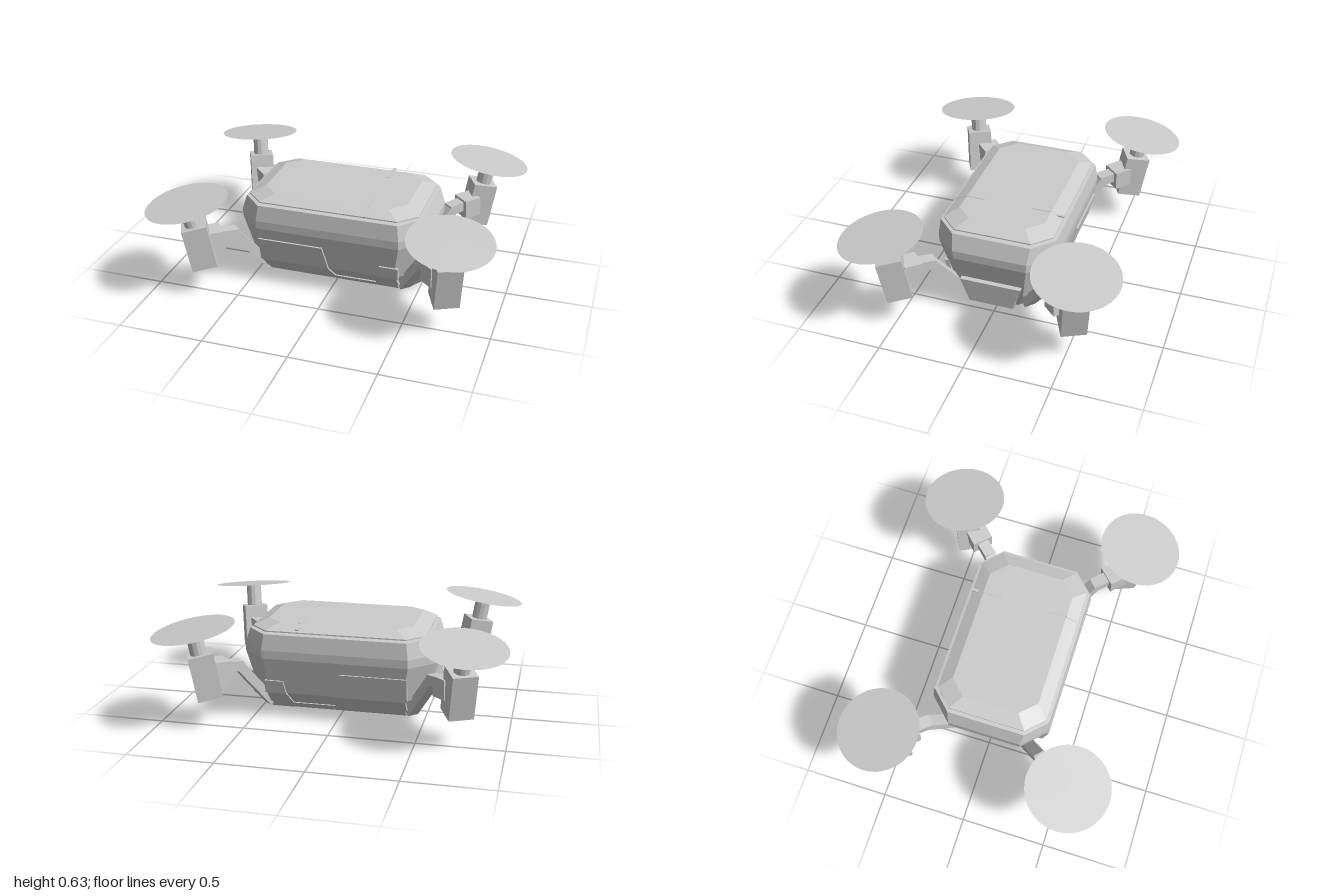
import * as THREE from 'three';

const mat = new THREE.MeshStandardMaterial({ color: 0xcccccc, flatShading: true });
const discMat = new THREE.MeshStandardMaterial({ color: 0xcccccc, side: THREE.DoubleSide });

function add(parent, name, geometry, material = mat) {
  const mesh = new THREE.Mesh(geometry, material);
  mesh.name = name;
  parent.add(mesh);
  return mesh;
}

// Flat-shaded solid through rings of points, listed from bottom to top
function loft(rings) {
  const pos = [];
  const tri = (...pts) => pts.forEach((p) => pos.push(...p));
  const n = rings[0].length;
  for (let i = 0; i < rings.length - 1; i++) {
    for (let j = 0; j < n; j++) {
      const k = (j + 1) % n;
      const [a, b, c, d] = [rings[i][j], rings[i][k], rings[i + 1][k], rings[i + 1][j]];
      tri(a, c, b);
      tri(a, d, c);
    }
  }
  const bottom = rings[0], top = rings[rings.length - 1];
  for (let j = 1; j < n - 1; j++) {
    tri(bottom[0], bottom[j], bottom[j + 1]);
    tri(top[0], top[j + 1], top[j]);
  }
  const g = new THREE.BufferGeometry();
  g.setAttribute('position', new THREE.Float32BufferAttribute(pos, 3));
  g.computeVertexNormals();
  return g;
}

// Rectangle with cut corners at height y
const octagon = (y, hx, hz, c) => [
  [hx, y, -hz + c], [hx, y, hz - c], [hx - c, y, hz], [-hx + c, y, hz],
  [-hx, y, hz - c], [-hx, y, -hz + c], [-hx + c, y, -hz], [hx - c, y, -hz],
];

const rectangle = (y, x0, x1, hz) => [[x1, y, -hz], [x1, y, hz], [x0, y, hz], [x0, y, -hz]];

// Depth of the long side wall at height y
function wall(y) {
  const { lerp } = THREE.MathUtils;
  return y > 0.16 ? lerp(0.3, 0.352, (y - 0.16) / 0.22) : lerp(0.19, 0.3, (y - 0.04) / 0.12);
}

// Thin plate, outlined in x and y, that follows the side wall
function plate(points) {
  const shape = new THREE.Shape(points.map(([x, y]) => new THREE.Vector2(x, y)));
  const g = new THREE.ExtrudeGeometry(shape, { depth: 0.027, bevelEnabled: false });
  const p = g.attributes.position;
  for (let i = 0; i < p.count; i++) p.setZ(i, p.getZ(i) - 0.015 + wall(p.getY(i)));
  g.computeVertexNormals();
  return g;
}

// Square-section bar between two points
function beam(parent, name, a, b, width, height) {
  const mesh = add(parent, name, new THREE.BoxGeometry(width, height, a.distanceTo(b)));
  mesh.position.copy(a).lerp(b, 0.5);
  mesh.lookAt(b);
  return mesh;
}

export function createModel() {
  const model = new THREE.Group();
  model.name = 'quadcopter';

  // Hull with a narrow neck under the lid
  add(model, 'hull', loft([
    octagon(0.04, 0.45, 0.19, 0.06),
    octagon(0.16, 0.51, 0.3, 0.12),
    octagon(0.38, 0.565, 0.352, 0.138),
    octagon(0.43, 0.565, 0.355, 0.138),
    octagon(0.525, 0.53, 0.343, 0.115),
    octagon(0.53, 0.49, 0.305, 0.1),
    octagon(0.545, 0.49, 0.305, 0.1),
  ]));
  add(model, 'lid', loft([
    octagon(0.535, 0.51, 0.325, 0.1),
    octagon(0.542, 0.51, 0.325, 0.1),
    octagon(0.576, 0.43, 0.255, 0.09),
  ]));

  // Chin under the +x end
  add(model, 'chin', loft([
    rectangle(0, 0.3, 0.44, 0.105),
    rectangle(0.09, 0.3, 0.55, 0.13),
    rectangle(0.24, 0.3, 0.56, 0.18),
  ]));

  // Lower side plates with a notch between them, and lid seams
  const plates = [
    [[-0.42, 0.16], [0, 0.16], [-0.03, 0.31], [-0.42, 0.31]],
    [[-0.41, 0.08], [0.02, 0.08], [0, 0.16], [-0.41, 0.16]],
    [[0.295, 0.16], [0.42, 0.16], [0.42, 0.24], [0.31, 0.24]],
    [[0.27, 0.08], [0.41, 0.08], [0.41, 0.16], [0.295, 0.16]],
    [[-0.4, 0.042], [0.4, 0.042], [0.4, 0.08], [-0.4, 0.08]],
  ];
  for (const s of [1, -1]) {
    const side = new THREE.Group();
    side.name = s > 0 ? 'frontPlates' : 'backPlates';
    side.scale.z = s;
    plates.forEach((pts) => add(side, 'sidePlate', plate(pts)));
    const v = (y, z) => new THREE.Vector3(0.22, y, z);
    beam(side, 'lidSeam', v(0.574, 0.145), v(0.574, 0.255), 0.018, 0.008);
    beam(side, 'lidSeam', v(0.574, 0.255), v(0.54, 0.325), 0.018, 0.008);
    model.add(side);
  }

  // Four arms, each with a motor pod and a rotor leaning outward
  const corners = [[1, 1], [1, -1], [-1, -1], [-1, 1]];
  corners.forEach(([sx, sz], i) => {
    const v = (x, y, z) => new THREE.Vector3(sx * x, y, sz * z);
    const arm = new THREE.Group();
    arm.name = 'arm';
    const foot = v(0.425, 0.065, 0.185), elbow = v(0.575, 0.33, 0.345);
    beam(arm, 'armStrut', foot, elbow, 0.07, 0.055);
    beam(arm, 'armTip', v(0.562, 0.328, 0.332), v(0.67, 0.345, 0.45), 0.07, 0.06);
    beam(arm, 'podBracket', v(0.625, 0.325, 0.4), v(0.7, 0.33, 0.475), 0.125, 0.115);
    model.add(arm);

    const unit = new THREE.Group();
    unit.name = 'rotorUnit';
    unit.position.copy(v(0.76, 0.59, 0.553));
    unit.rotation.set(0.18, THREE.MathUtils.degToRad(26 + 90 * i), 0, 'YXZ');
    add(unit, 'motorPod', new THREE.BoxGeometry(0.145, 0.265, 0.145)).position.set(0, -0.275, -0.005);
    add(unit, 'shaft', new THREE.CylinderGeometry(0.047, 0.047, 0.16, 12)).position.y = -0.082;
    add(unit, 'rotorDisc', new THREE.CircleGeometry(0.24, 48), discMat).rotation.x = -Math.PI / 2;
    model.add(unit);
  });

  return model;
}
